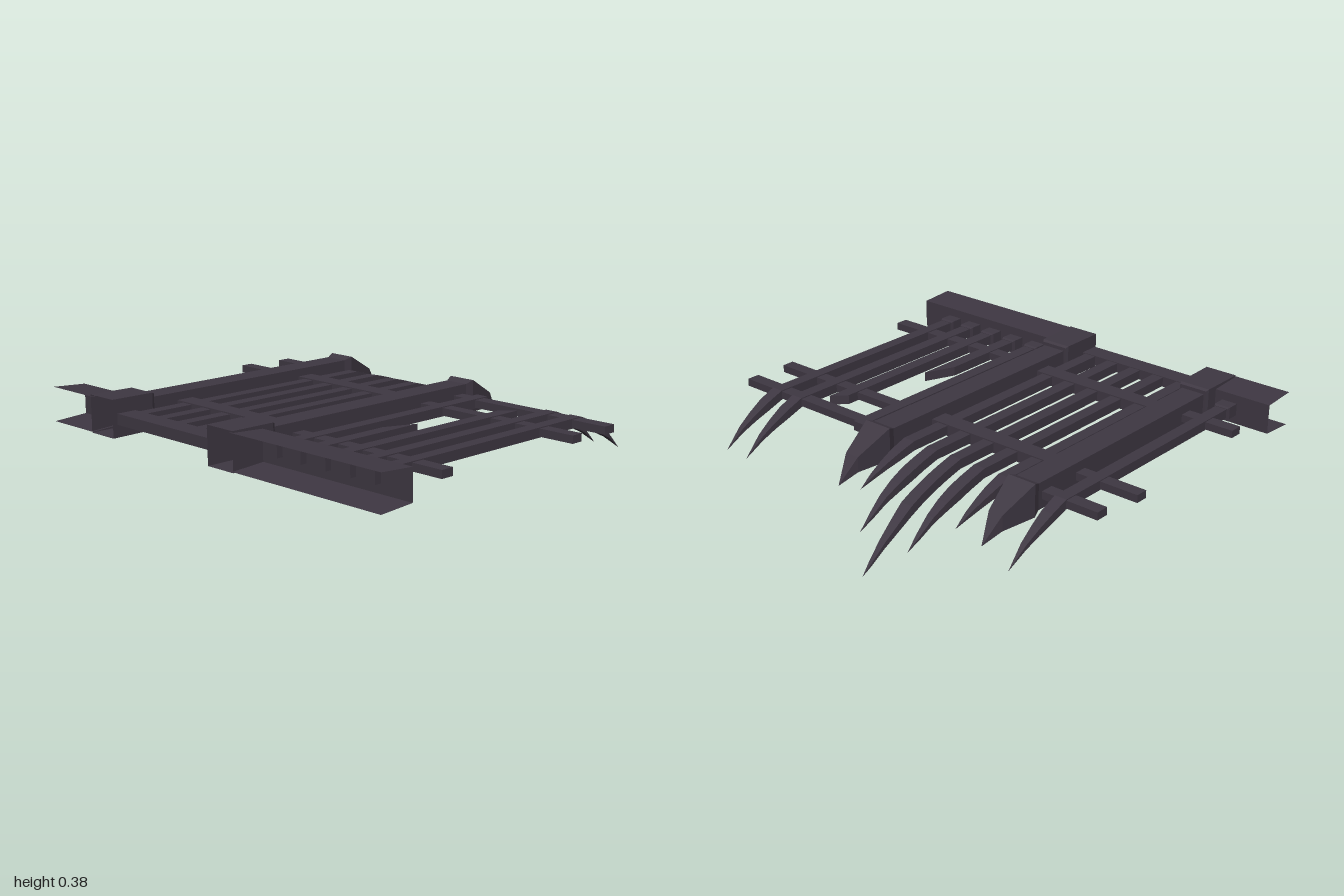
import * as THREE from 'three';

const iron = new THREE.MeshStandardMaterial({ color: 0x3e3742, side: THREE.DoubleSide });
iron.name = 'dark iron';
const MID = 0.297; // height of the fence's middle plane

// Rectangular loft running from front (+z) to back.
// Each section: { z, x, y, hx, hy, skew }, where skew slants the cut across x.
function loft(name, sections, openFront = false, openBack = false) {
  const rings = sections.map(({ z, x, y = MID, hx, hy, skew = 0 }) =>
    [[-1, -1], [1, -1], [1, 1], [-1, 1]].map(([sx, sy]) => [x + sx * hx, y + sy * hy, z + sx * skew]));
  const pos = [];
  const quad = (a, b, c, d) => pos.push(...a, ...b, ...c, ...a, ...c, ...d);
  for (let i = 0; i < rings.length - 1; i++) {
    const a = rings[i], b = rings[i + 1];
    for (let k = 0; k < 4; k++) {
      const n = (k + 1) % 4;
      quad(a[k], b[k], b[n], a[n]);
    }
  }
  const f = rings[0], e = rings[rings.length - 1];
  if (!openFront) quad(f[0], f[1], f[2], f[3]);
  if (!openBack) quad(e[3], e[2], e[1], e[0]);
  const geo = new THREE.BufferGeometry();
  geo.setAttribute('position', new THREE.Float32BufferAttribute(pos, 3));
  geo.computeVertexNormals();
  const mesh = new THREE.Mesh(geo, iron);
  mesh.name = name;
  return mesh;
}

function bar(name, x0, x1, z0, z1, hy) {
  const mesh = new THREE.Mesh(new THREE.BoxGeometry(x1 - x0, hy * 2, z1 - z0), iron);
  mesh.position.set((x0 + x1) / 2, MID, (z0 + z1) / 2);
  mesh.name = name;
  return mesh;
}

// How far the bent tops drop below the middle plane
const BEND = [[-0.4, 0], [-0.5, 0.025], [-0.6, 0.058], [-0.69, 0.1], [-0.82, 0.19], [-0.945, 0.297]];
function drop(z) {
  if (z >= BEND[0][0]) return 0;
  for (let i = 1; i < BEND.length; i++) {
    const [za, da] = BEND[i - 1], [zb, db] = BEND[i];
    if (z >= zb) return da + (db - da) * (z - za) / (zb - za);
  }
  return BEND[BEND.length - 1][1];
}

// Picket with a curved, pointed tip
function spear(name, x, zFront, zTip, sag = 1) {
  const w = 0.028, t = 0.021, zs = [zFront, -0.4];
  for (let z = -0.48; z > zTip + 0.03; z -= 0.07) zs.push(z);
  zs.push(zTip);
  return loft(name, zs.map((z) => {
    const s = Math.pow(Math.min(1, (z - zTip) / 0.25), 0.75);
    return { z, x, y: MID - drop(z) * sag, hx: w * s, hy: t * s };
  }));
}

function brokenPicket(x, zEnd, skew) {
  return loft('brokenPicket', [
    { z: 0.8, x, hx: 0.029, hy: 0.021 },
    { z: zEnd, x, hx: 0.029, hy: 0.021, skew },
  ]);
}

function post(x) {
  const g = new THREE.Group();
  g.name = 'post';
  g.add(loft('postShaft', [
    { z: 0.73, x, hx: 0.056, hy: 0.058 },
    { z: -0.42, x, hx: 0.056, hy: 0.058 },
  ], true, true));
  g.add(loft('postPoint', [
    { z: -0.42, x, hx: 0.056, hy: 0.058 },
    { z: -0.455, x, hx: 0.067, hy: 0.072 },
    { z: -0.61, x, y: 0.25, hx: 0.034, hy: 0.034 },
    { z: -0.69, x, y: 0.175, hx: 0.001, hy: 0.001 },
  ], true));
  // hollow foot, open on the ground side
  g.add(loft('postFoot', [
    { z: 0.945, x, hx: 0.076, hy: 0.083 },
    { z: 0.735, x, hx: 0.073, hy: 0.081 },
    { z: 0.722, x, hx: 0.067, hy: 0.074 },
  ], true));
  return g;
}

// Hollow plinth: a channel open at the ground side and at both ends
function plinth(x0, x1) {
  const shape = [[0.95, 0.22], [0.79, 0.23], [0.79, 0.363], [0.95, 0.373]];
  const pos = [];
  for (let i = 0; i < 3; i++) {
    const [za, ya] = shape[i], [zb, yb] = shape[i + 1];
    pos.push(x0, ya, za, x0, yb, zb, x1, yb, zb, x0, ya, za, x1, yb, zb, x1, ya, za);
  }
  const geo = new THREE.BufferGeometry();
  geo.setAttribute('position', new THREE.Float32BufferAttribute(pos, 3));
  geo.computeVertexNormals();
  const mesh = new THREE.Mesh(geo, iron);
  mesh.name = 'plinth';
  return mesh;
}

function foot(x) {
  return loft('picketFoot', [
    { z: 0.82, x, hx: 0.037, hy: 0.027 },
    { z: 0.735, x, hx: 0.037, hy: 0.027 },
    { z: 0.722, x, hx: 0.032, hy: 0.023 },
  ]);
}

export function createModel() {
  const model = new THREE.Group();
  model.name = 'fenceWithGate';

  // Posts and plinths
  model.add(post(-0.646), post(0.126));
  model.add(plinth(-0.99, -0.71), plinth(0.19, 1));

  // Fence rails on both sides of the gate
  for (const [z0, z1, xl, xr] of [[-0.4, -0.34, -0.97, 1], [-0.185, -0.128, -1, 1], [0.558, 0.618, -0.955, 0.982]]) {
    model.add(bar('leftmostRail', xl, -0.66, z0, z1, 0.017));
    model.add(bar('longRail', 0.14, xr, z0, z1, 0.017));
  }

  // Fence pickets, whole and broken
  for (const x of [-0.793, 0.678, 0.805]) model.add(spear('picket', x, 0.8, -0.71, 1.5));
  model.add(brokenPicket(0.277, -0.42, 0), brokenPicket(0.411, 0.24, -0.07), brokenPicket(0.546, -0.27, -0.03));
  for (const x of [-0.793, 0.277, 0.411, 0.546, 0.678, 0.805]) model.add(foot(x));

  // Gate
  const gate = new THREE.Group();
  gate.name = 'gate';
  [-0.69, -0.825, -0.945, -0.825, -0.69].forEach((tip, i) =>
    gate.add(spear('gatePicket', -0.511 + i * 0.128, 0.85, tip)));
  gate.add(bar('gateUpperRail', -0.58, 0.06, -0.195, -0.112, 0.026));
  gate.add(bar('gateLowerRail', -0.58, 0.06, 0.514, 0.597, 0.026));
  gate.add(bar('gateBottomRail', -0.558, 0.044, 0.837, 0.93, 0.024));
  model.add(gate);

  return model;
}
